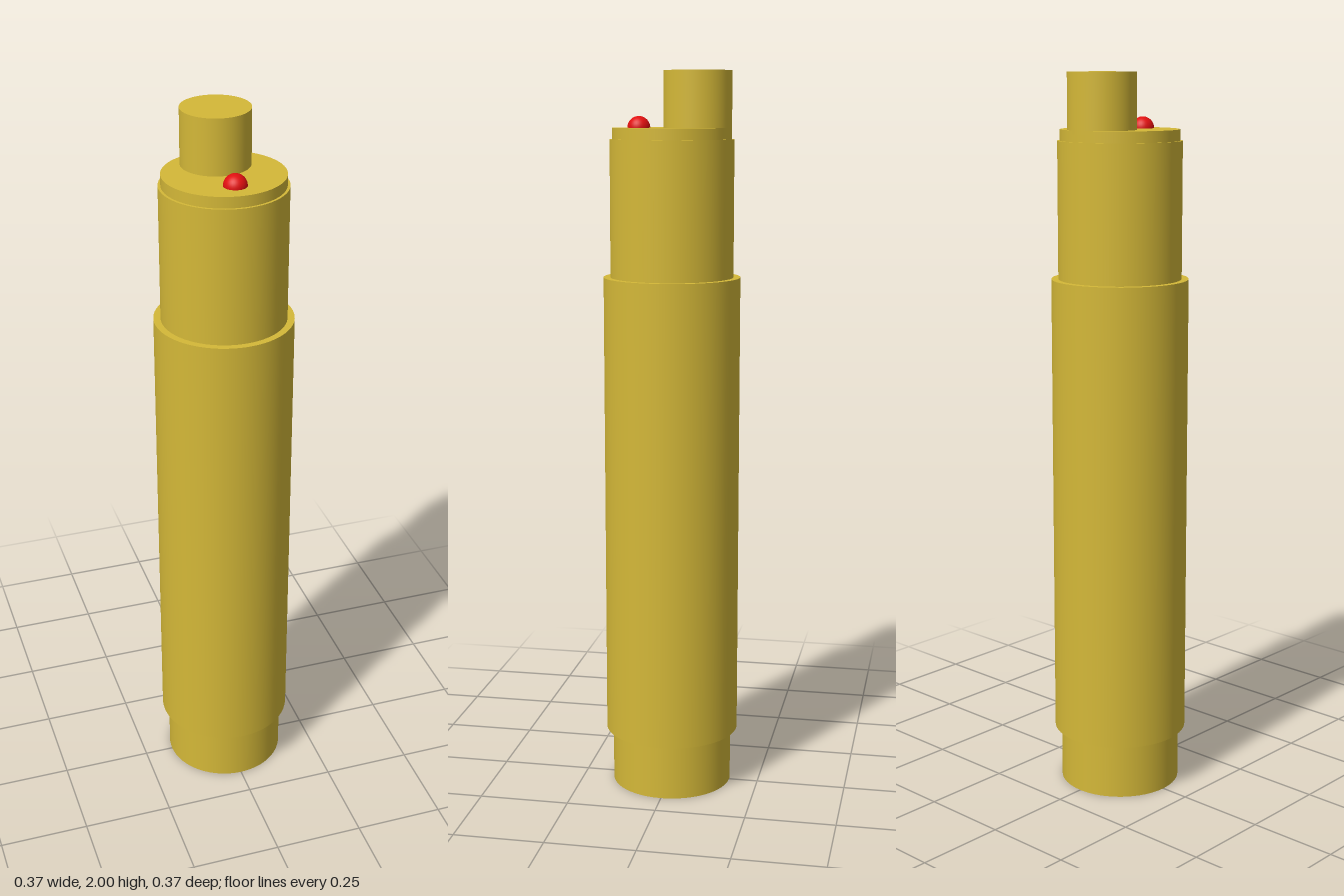
import * as THREE from 'three';

const gold = new THREE.MeshStandardMaterial({ name: 'gold', color: 0xd4b838 });
const red = new THREE.MeshStandardMaterial({ name: 'red', color: 0xe01010 });

export function createModel() {
  const model = new THREE.Group();
  model.name = 'steppedCylinder';

  // Upright cylinder between two heights
  const addCylinder = (name, radius, bottom, top, z = 0) => {
    const geometry = new THREE.CylinderGeometry(radius, radius, top - bottom, 64);
    const mesh = new THREE.Mesh(geometry, gold);
    mesh.name = name;
    mesh.position.set(0, (bottom + top) / 2, z);
    model.add(mesh);
  };

  addCylinder('innerBody', 0.168, 0, 1.82);
  addCylinder('outerSleeve', 0.187, 0.157, 1.45);
  addCylinder('topCap', 0.161, 1.81, 1.85);
  // Off-centre post towards the back
  addCylinder('topPost', 0.092, 1.84, 2, -0.07);

  // Small indicator half sunk into the cap
  const bead = new THREE.Mesh(new THREE.SphereGeometry(0.031, 32, 24), red);
  bead.name = 'indicatorBead';
  bead.position.set(0, 1.85, 0.091);
  model.add(bead);

  return model;
}
